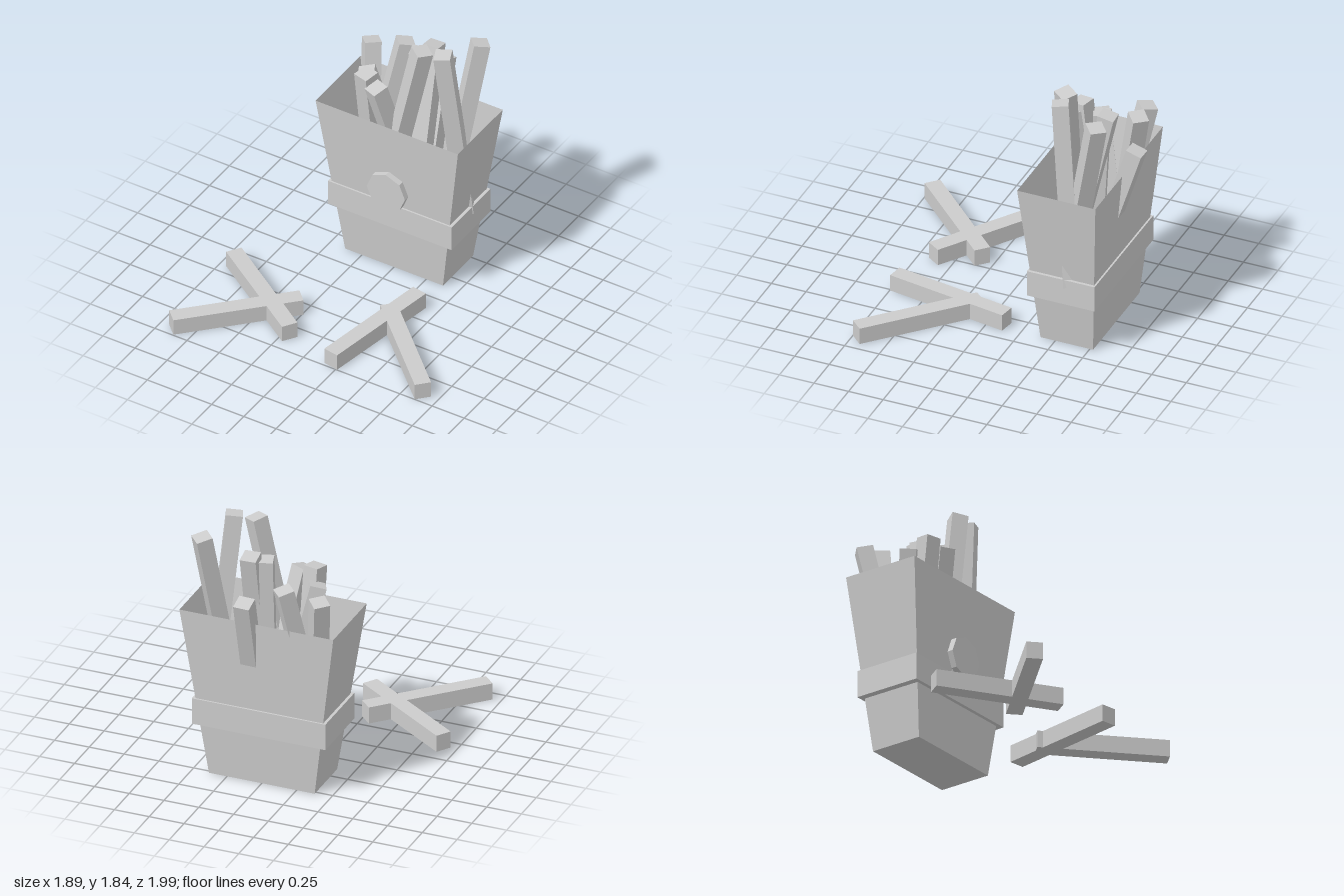
import * as THREE from 'three';

const mat = new THREE.MeshStandardMaterial({ color: 0xcccccc, flatShading: true });
const sheetMat = new THREE.MeshStandardMaterial({ color: 0xcccccc, flatShading: true, side: THREE.DoubleSide });
const Z = -0.583; // depth of the carton's centre

function add(group, name, geometry, material = mat) {
  const mesh = new THREE.Mesh(geometry, material);
  mesh.name = name;
  group.add(mesh);
  return mesh;
}

// Open-topped tapered box made of thin card
function cartonGeometry() {
  const g = new THREE.BoxGeometry(2, 1.23, 2).translate(0, 0.615, 0);
  const p = g.attributes.position;
  for (let i = 0; i < p.count; i++) {
    const top = p.getY(i) > 0.6;
    p.setX(i, p.getX(i) * (top ? 0.553 : 0.38));
    p.setZ(i, p.getZ(i) * (top ? 0.283 : 0.19));
  }
  const index = Array.from(g.index.array);
  index.splice(12, 6); // remove the lid
  g.setIndex(index);
  g.clearGroups();
  g.computeVertexNormals();
  return g;
}

// Square stick between the centres of its two ends, turned about its length
function stick(group, top, bottom, turn) {
  const a = new THREE.Vector3(...top), b = new THREE.Vector3(...bottom);
  const up = new THREE.Vector3(0, 1, 0);
  const fry = add(group, 'fry', new THREE.BoxGeometry(0.112, a.distanceTo(b), 0.112));
  fry.position.addVectors(a, b).multiplyScalar(0.5);
  fry.quaternion.setFromUnitVectors(up, a.sub(b).normalize());
  fry.rotateY(turn);
}

export function createModel() {
  const model = new THREE.Group();
  model.name = 'friesCarton';

  // Carton with its band and round badge
  add(model, 'carton', cartonGeometry(), sheetMat).position.z = Z;
  add(model, 'band', new THREE.BoxGeometry(0.96, 0.19, 0.49)).position.set(0, 0.468, Z);
  const badge = add(model, 'badge', new THREE.CylinderGeometry(0.149, 0.149, 0.042, 8));
  badge.rotation.x = Math.PI / 2;
  badge.position.set(0, 0.69, -0.309);

  // Fries standing in the carton: top, bottom, turn
  const fries = new THREE.Group();
  fries.name = 'standingFries';
  model.add(fries);
  [
    [[-0.43, 1.46, -0.81], [-0.33, 0.52, -0.62], 0.75],
    [[-0.19, 1.52, -0.85], [-0.34, 0.52, -0.65], 0.75],
    [[0.055, 1.42, -0.945], [0.08, 0.52, -0.665], 0],
    [[0.09, 1.67, -0.755], [0.1, 0.52, -0.5], 0.06],
    [[0.415, 1.775, -0.81], [0.29, 0.52, -0.56], 0.75],
    [[0.31, 1.83, -0.505], [0.415, 0.5, -0.635], 0.4],
    [[0.165, 1.82, -0.48], [-0.1, 0.52, -0.42], -0.6],
    [[-0.235, 1.51, -0.42], [-0.22, 0.52, -0.54], -0.25],
    [[-0.3, 1.43, -0.53], [-0.12, 0.52, -0.72], 0.46],
    [[-0.13, 1.46, -0.375], [0.02, 0.52, -0.6], -0.4],
    [[0.015, 1.63, -0.68], [0.015, 0.52, -0.62], 0.3],
  ].forEach(([top, bottom, turn]) => stick(fries, top, bottom, turn));

  // Fries lying on the ground: x and z of both ends
  const loose = new THREE.Group();
  loose.name = 'looseFries';
  model.add(loose);
  [
    [-0.92, 0.135, -0.18, 0.63],
    [-0.9, 0.955, -0.28, 0.32],
    [0.355, -0.138, 0.205, 0.738],
    [0.903, 0.708, 0.257, 0.096],
  ].forEach(([x1, z1, x2, z2]) => {
    const fry = add(loose, 'looseFry', new THREE.BoxGeometry(Math.hypot(x2 - x1, z2 - z1), 0.12, 0.112));
    fry.position.set((x1 + x2) / 2, 0.06, (z1 + z2) / 2);
    fry.rotation.y = Math.atan2(z1 - z2, x2 - x1);
  });

  return model;
}
